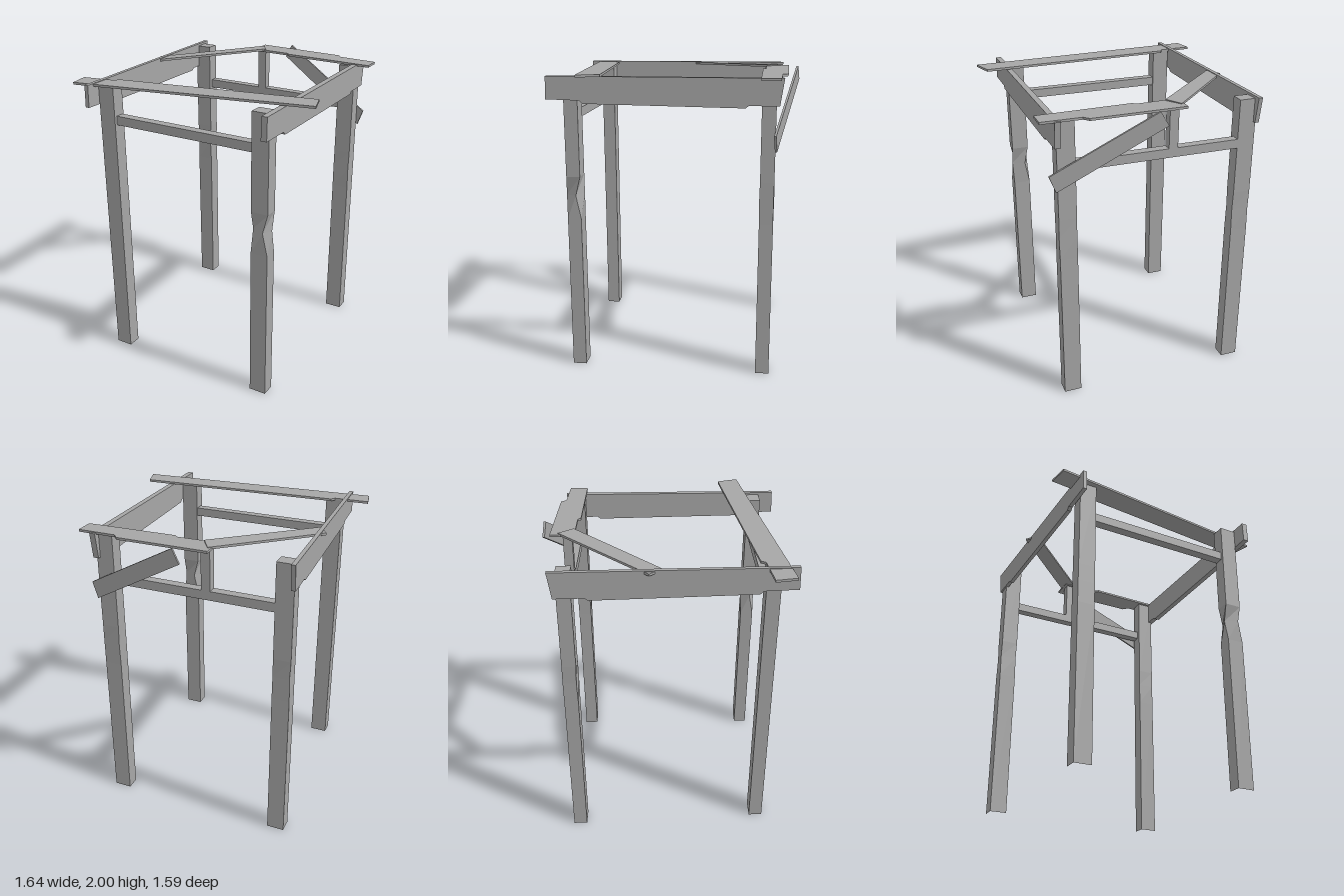
import * as THREE from 'three';

const wood = new THREE.MeshStandardMaterial({ color: 0xa6a6a6 });
wood.name = 'greyWood';

// Mesh with one normal per face
function addPart(group, name, geometry) {
  const flat = geometry.index ? geometry.toNonIndexed() : geometry;
  flat.computeVertexNormals();
  const mesh = new THREE.Mesh(flat, wood);
  mesh.name = name;
  group.add(mesh);
}

// Extrude an outline, then place each vertex by a rule (u, v, w) -> [x, y, z]
function board(group, name, outline, depth, place) {
  const shape = new THREE.Shape(outline.map(([u, v]) => new THREE.Vector2(u, v)));
  const geo = new THREE.ExtrudeGeometry(shape, { depth, bevelEnabled: false });
  const p = geo.attributes.position;
  for (let i = 0; i < p.count; i++) p.setXYZ(i, ...place(p.getX(i), p.getY(i), p.getZ(i)));
  geo.clearGroups();
  addPart(group, name, geo);
}

// Thin roof plank: outline in x and z, lying flat, with a gentle slope along x
function plank(group, name, outline, y0, slope) {
  board(group, name, outline.map(([x, z]) => [x, -z]), 0.015,
    (u, v, w) => [u, y0 + slope * u + w, -v]);
}

// Square timber with a hollow foot, twisted and narrowed at its middle ring
function post(group, name, x, z, twist, pinch) {
  const rings = [0, 1.04, 1.195, 1.32, 1.955];
  const geo = new THREE.BoxGeometry(0.116, 4, 0.09, 1, 4, 1);
  const p = geo.attributes.position;
  for (let i = 0; i < p.count; i++) {
    const ring = Math.round(p.getY(i) + 2);
    const a = ring === 2 ? twist : 0;
    const s = ring === 2 ? pinch : 1;
    const dx = p.getX(i) * s, dz = p.getZ(i) * s;
    p.setXYZ(i,
      x + dx * Math.cos(a) - dz * Math.sin(a),
      rings[ring],
      z + dx * Math.sin(a) + dz * Math.cos(a));
  }
  // leave the underside open
  const index = Array.from(geo.index.array);
  index.splice(geo.groups[3].start, geo.groups[3].count);
  geo.setIndex(index);
  geo.clearGroups();
  addPart(group, name, geo);
}

function bar(group, name, x0, x1, y0, y1, z0, z1) {
  const geo = new THREE.BoxGeometry(x1 - x0, y1 - y0, z1 - z0);
  geo.translate((x0 + x1) / 2, (y0 + y1) / 2, (z0 + z1) / 2);
  addPart(group, name, geo);
}

export function createModel() {
  const group = new THREE.Group();
  group.name = 'timberFrame';

  // Corner posts
  post(group, 'frontLeftPost', 0.54, 0.645, 0.43, 0.82);
  post(group, 'frontRightPost', -0.585, 0.645, 0, 1);
  post(group, 'backLeftPost', 0.54, -0.605, 0.04, 1);
  post(group, 'backRightPost', -0.652, -0.605, 0.06, 0.97);

  // Cross rails and the short prop
  bar(group, 'frontRail', -0.53, 0.485, 1.695, 1.755, 0.61, 0.67);
  bar(group, 'backRail', -0.6, 0.49, 1.635, 1.695, -0.65, -0.59);
  bar(group, 'prop', -0.18, -0.12, 1.69, 1.975, -0.65, -0.59);

  // Side beams: profile in z and y with a deeper middle, slightly skewed in x
  const beam = [[0.79, 1.97], [0.795, 1.825], [0.58, 1.82], [0.56, 1.8],
    [-0.46, 1.785], [-0.48, 1.8], [-0.67, 1.8], [-0.695, 1.97]].map(([z, y]) => [-z, y]);
  board(group, 'leftBeam', beam, 0.038, (u, v, w) => [0.587 - 0.017 * u + w, v, -u]);
  board(group, 'rightBeam', beam, 0.027, (u, v, w) => [-0.699 - 0.036 * u + w, v, -u]);

  // Roof planks
  plank(group, 'frontPlank', [[-0.82, 0.62], [-0.59, 0.595], [-0.57, 0.565],
    [0.775, 0.41], [0.82, 0.55], [-0.795, 0.755]], 1.964, 0.021);
  plank(group, 'backPlank', [[-0.2, -0.73], [0.41, -0.718], [0.44, -0.683], [0.7, -0.675],
    [0.7, -0.553], [0.09, -0.553], [0.07, -0.573], [-0.2, -0.573]], 1.969, -0.011);
  plank(group, 'diagonalPlank', [[-0.18, -0.68], [-0.115, -0.583],
    [-0.665, -0.02], [-0.73, -0.1]], 1.984, 0.05);

  // Loose board hanging behind the back
  board(group, 'looseBoard', [[-0.05, 1.905], [0, 1.995], [0.65, 1.62], [0.61, 1.515]], 0.014,
    (u, v, w) => [u, v, -0.789 + 0.21 * u + w]);

  return group;
}
